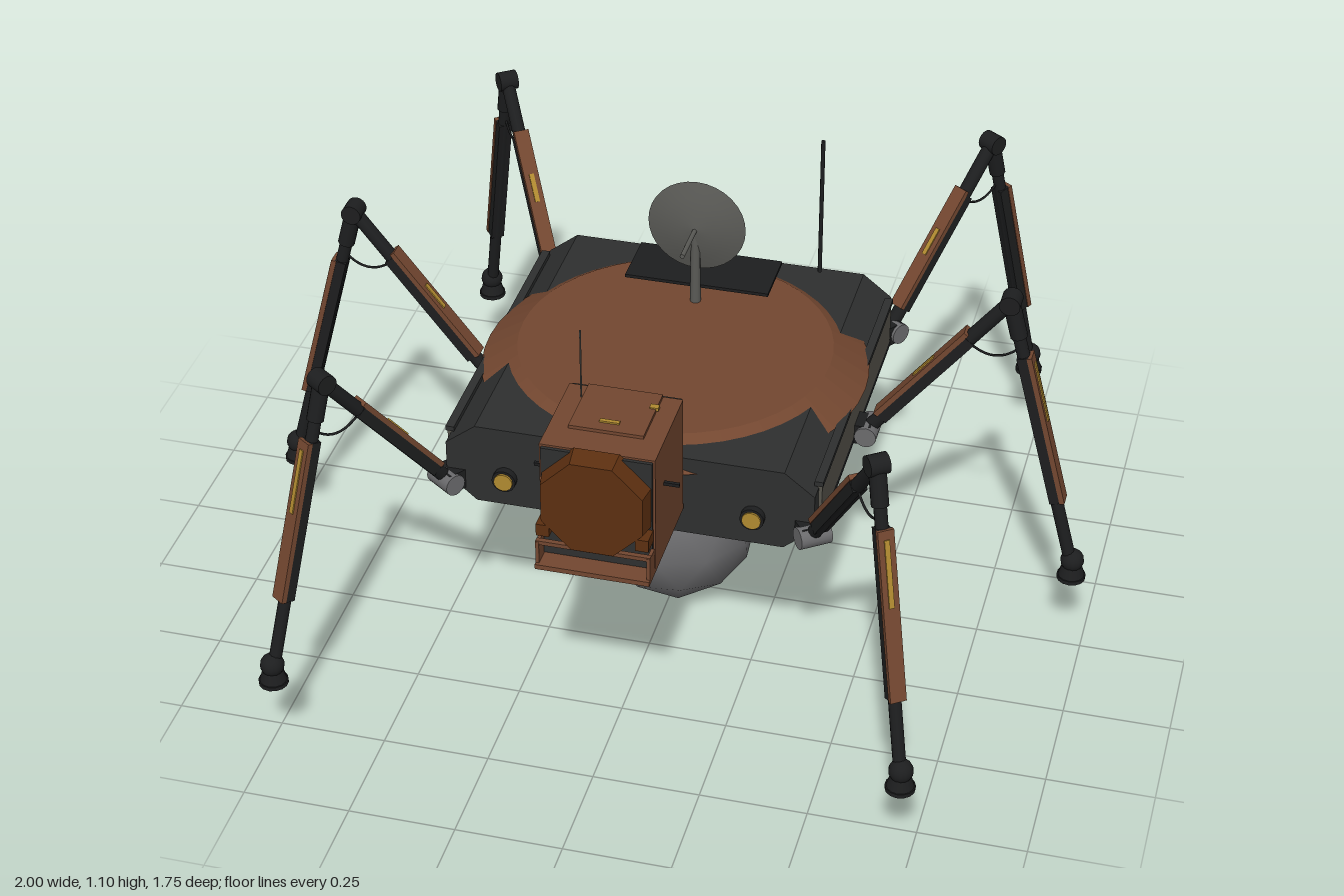
import * as THREE from 'three';

const mat = (name, color, extra = {}) => {
  const m = new THREE.MeshStandardMaterial({ color, ...extra });
  m.name = name;
  return m;
};

export function createModel() {
  const M = {
    dark: mat('charcoal hull', 0x2e2f2f),
    black: mat('black struts', 0x1d1e1f),
    rust: mat('rust armour', 0x734730),
    orange: mat('burnt orange', 0x5c2f10),
    grey: mat('sensor grey', 0x6b6b6d),
    panel: mat('side panel grey', 0x56544c),
    dish: mat('dish grey', 0x5a5a56, { side: THREE.DoubleSide }),
    yellow: mat('amber', 0xb08a30),
  };
  const root = new THREE.Group();
  root.name = 'walker';

  const add = (parent, name, geo, material, x = 0, y = 0, z = 0) => {
    const m = new THREE.Mesh(geo, material);
    m.name = name;
    m.position.set(x, y, z);
    parent.add(m);
    return m;
  };
  const box = (p, name, m, w, h, d, x, y, z) => add(p, name, new THREE.BoxGeometry(w, h, d), m, x, y, z);
  const cyl = (rt, rb, h, n = 16) => new THREE.CylinderGeometry(rt, rb, h, n);
  const flat = (g) => { const f = g.toNonIndexed(); f.computeVertexNormals(); return f; };

  // Hull: chamfered section run from back to front
  const half = [[0.36, 0.485], [0.43, 0.545], [0.43, 0.635], [0.36, 0.69]];
  const section = new THREE.Shape(
    [...half, ...half.slice().reverse().map(([x, y]) => [-x, y])].map(([x, y]) => new THREE.Vector2(x, y)));
  add(root, 'hull', new THREE.ExtrudeGeometry(section, { depth: 0.85, bevelEnabled: false }), M.dark, 0, 0, -0.425);
  add(root, 'deckDome', flat(cyl(0.37, 0.455, 0.054, 48)), M.rust, 0, 0.678, 0);
  for (const s of [1, -1]) {
    box(root, 'sidePanel', M.panel, 0.014, 0.11, 0.77, s * 0.431, 0.59, 0);
    box(root, 'sideRail', M.dark, 0.02, 0.012, 0.78, s * 0.431, 0.648, 0);
    box(root, 'sideSill', M.black, 0.02, 0.02, 0.78, s * 0.428, 0.528, 0);
    // Headlamps
    const rim = add(root, 'lampRim', cyl(0.028, 0.028, 0.02), M.black, s * 0.29, 0.56, 0.432);
    const lamp = add(root, 'lamp', cyl(0.022, 0.022, 0.008), M.yellow, s * 0.29, 0.56, 0.443);
    rim.rotation.x = lamp.rotation.x = Math.PI / 2;
  }

  // Belly turret and faceted ball
  add(root, 'turretRing', cyl(0.163, 0.163, 0.05, 32), M.grey, 0, 0.465, 0);
  const ball = add(root, 'sensorBall', new THREE.IcosahedronGeometry(0.2, 1), M.grey, 0, 0.2, 0);
  ball.rotation.z = Math.atan(2 / (1 + Math.sqrt(5)));

  // Head
  const head = new THREE.Group();
  head.name = 'head';
  root.add(head);
  box(head, 'headShell', M.rust, 0.26, 0.29, 0.24, 0, 0.71, 0.555);
  box(head, 'headBack', M.dark, 0.25, 0.28, 0.012, 0, 0.71, 0.431);
  box(head, 'headFace', M.dark, 0.25, 0.28, 0.01, 0, 0.71, 0.678);
  box(head, 'headBase', M.dark, 0.25, 0.008, 0.28, 0, 0.552, 0.575);
  box(head, 'chinPlate', M.rust, 0.26, 0.012, 0.3, 0, 0.562, 0.58);
  const visor = add(head, 'visor', flat(cyl(0.124, 0.134, 0.05, 8)), M.orange, 0, 0.735, 0.7);
  visor.rotation.set(Math.PI / 2, Math.PI / 8, 0);
  box(head, 'chinBar', M.rust, 0.26, 0.01, 0.012, 0, 0.622, 0.715);
  box(head, 'hatch', M.rust, 0.17, 0.01, 0.165, 0, 0.858, 0.52);
  box(head, 'hatchHandle', M.yellow, 0.045, 0.006, 0.01, 0, 0.864, 0.57);
  box(head, 'hatchLatch', M.yellow, 0.02, 0.008, 0.015, 0.08, 0.862, 0.49);
  box(head, 'sensorBar', M.black, 0.33, 0.008, 0.008, 0, 0.745, 0.6);
  add(head, 'headAerial', cyl(0.002, 0.002, 0.18, 6), M.dish, -0.09, 0.94, 0.48);
  for (const s of [1, -1]) {
    box(head, 'chinRail', M.rust, 0.008, 0.065, 0.04, s * 0.126, 0.592, 0.702);
    box(head, 'visorClamp', M.orange, 0.03, 0.03, 0.045, s * 0.112, 0.66, 0.702);
  }

  // Rear deck equipment
  box(root, 'solarPanel', M.black, 0.35, 0.008, 0.15, 0, 0.742, -0.27);
  add(root, 'aerial', cyl(0.005, 0.005, 0.36, 8), M.black, 0.27, 0.92, -0.333);
  add(root, 'dishMast', cyl(0.011, 0.013, 0.2, 10), M.dish, 0, 0.8, -0.188);
  const bowl = [[0, 0.025], [0.04, 0.021], [0.08, 0.012], [0.118, 0]].map(([r, y]) => new THREE.Vector2(r, y));
  add(root, 'dish', new THREE.LatheGeometry(bowl, 32), M.dish, 0, 0.907, -0.2).rotation.x = Math.PI / 2;
  add(root, 'dishFeed', cyl(0.006, 0.006, 0.14, 8), M.dish, 0, 0.905, -0.13).rotation.x = Math.PI / 2;

  // Legs: built in a plane reaching out along local +x
  const V = (x, y, z = 0) => new THREE.Vector3(x, y, z);
  const hip = V(0, 0.545), knee = V(0.315, 0.945), ankle = V(0.495, 0.25);
  const up = V(0, 1, 0);
  // Place a y-aligned geometry over part of a limb, pushed outwards by off
  const limb = (p, name, m, a, b, t0, t1, off, make) => {
    const dir = b.clone().sub(a), len = dir.length();
    dir.normalize();
    const side = V(dir.y, -dir.x);
    if (side.y < 0) side.negate();
    const c = a.clone().lerp(b, (t0 + t1) / 2).addScaledVector(side, off);
    const mesh = add(p, name, make(len * (t1 - t0)), m, c.x, c.y, c.z);
    mesh.quaternion.setFromUnitVectors(up, dir);
  };
  const rod = (r, n = 10) => (h) => cyl(r, r, h, n);
  const plate = (w, d) => (h) => new THREE.BoxGeometry(w, h, d);

  const makeLeg = (x, z, yaw) => {
    const g = new THREE.Group();
    g.name = 'leg';
    g.position.set(x, 0, z);
    g.rotation.y = yaw;
    root.add(g);
    // Hip
    box(g, 'hipBracket', M.black, 0.07, 0.05, 0.06, -0.025, 0.54, 0);
    add(g, 'hipJoint', cyl(0.026, 0.026, 0.075), M.grey, 0, 0.54, 0).rotation.x = Math.PI / 2;
    // Thigh
    limb(g, 'thighRod', M.black, hip, knee, 0, 1, 0, rod(0.017));
    limb(g, 'thighCore', M.black, hip, knee, 0.1, 0.72, 0, plate(0.03, 0.034));
    limb(g, 'thighArmour', M.rust, hip, knee, 0.1, 0.74, 0.017, plate(0.012, 0.038));
    limb(g, 'thighMark', M.yellow, hip, knee, 0.38, 0.52, 0.024, plate(0.004, 0.012));
    // Knee
    add(g, 'kneeJoint', cyl(0.024, 0.024, 0.046), M.black, knee.x, knee.y, 0).rotation.x = Math.PI / 2;
    limb(g, 'kneeSleeve', M.black, knee, ankle, 0.02, 0.13, 0, rod(0.02));
    // Shin
    limb(g, 'shinRod', M.black, knee, ankle, 0, 1, 0, rod(0.015));
    limb(g, 'shinCore', M.black, knee, ankle, 0.2, 0.76, 0, plate(0.028, 0.034));
    limb(g, 'shinArmour', M.rust, knee, ankle, 0.2, 0.76, 0.016, plate(0.012, 0.038));
    limb(g, 'shinMark', M.yellow, knee, ankle, 0.23, 0.45, 0.023, plate(0.004, 0.012));
    // Slack cable under the knee
    const cable = new THREE.QuadraticBezierCurve3(V(0.225, 0.82), V(0.29, 0.765), V(0.345, 0.83));
    add(g, 'kneeCable', new THREE.TubeGeometry(cable, 12, 0.003, 5), M.black);
    // Foot
    add(g, 'ankle', new THREE.SphereGeometry(0.028, 14, 10), M.black, 0.5, 0.252, 0);
    add(g, 'footPad', cyl(0.022, 0.034, 0.04, 14), M.black, 0.5, 0.222, 0);
    add(g, 'footSole', cyl(0.034, 0.034, 0.01, 14), M.black, 0.5, 0.206, 0);
  };
  const splay = Math.atan2(0.425, 0.307);
  for (const z of [1, -1]) {
    makeLeg(0.43, z * 0.435, -z * splay);
    makeLeg(-0.43, z * 0.435, Math.PI + z * splay);
  }
  makeLeg(0.465, 0, 0);
  makeLeg(-0.465, 0, Math.PI);

  return root;
}
